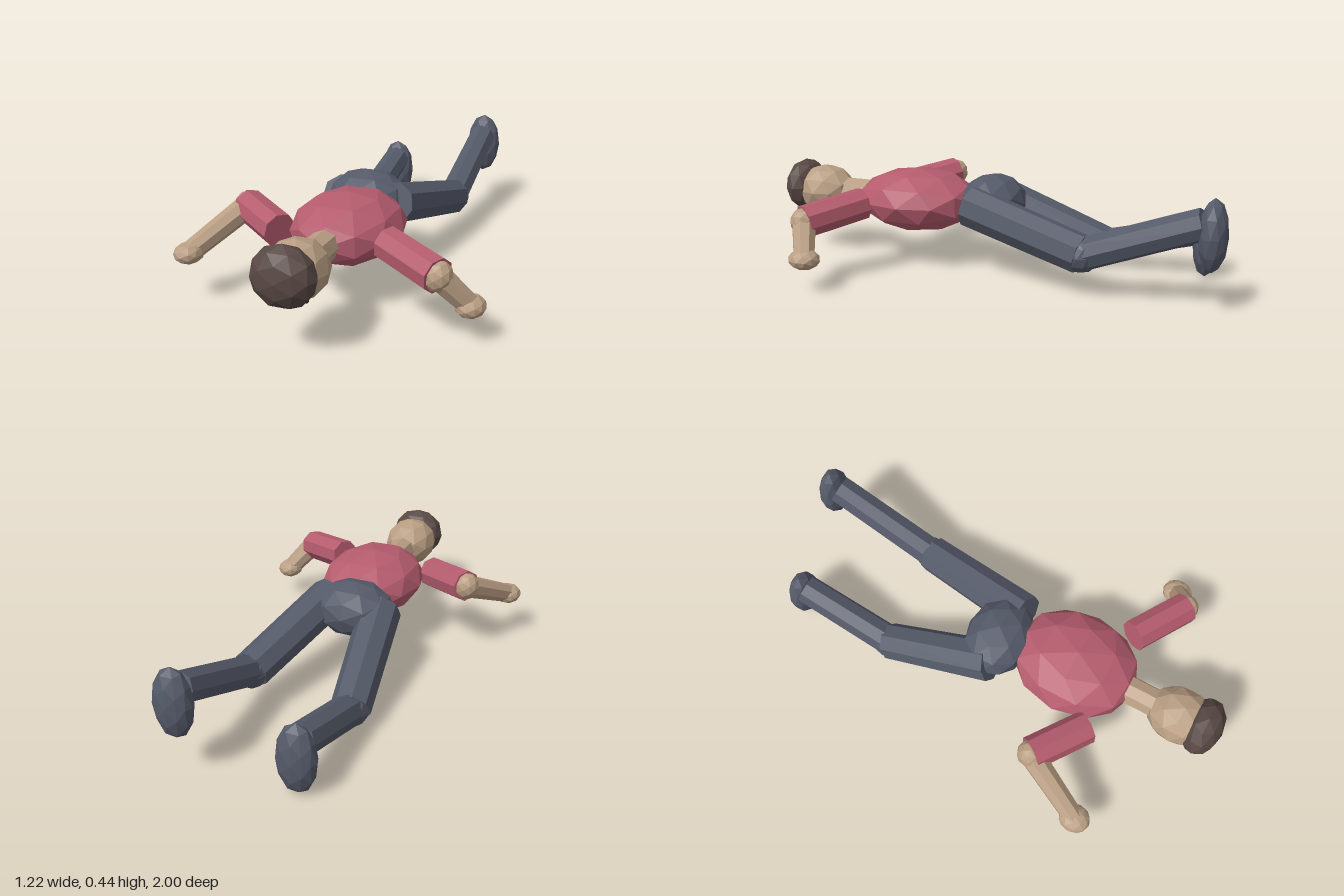
import * as THREE from 'three';

const V = (p) => new THREE.Vector3(...p);
const mat = (name, color) => {
  const m = new THREE.MeshStandardMaterial({ color, flatShading: true });
  m.name = name;
  return m;
};

export function createModel() {
  const shirt = mat('shirt red', 0xb55c6e);
  const skin = mat('skin', 0xb99e83);
  const trousers = mat('trousers blue grey', 0x555a69);
  const hair = mat('hair brown', 0x584844);
  const dark = mat('eye dark', 0x2a2423);

  const model = new THREE.Group();
  model.name = 'lyingFigure';

  // Faceted ellipsoid
  function blob(parent, name, material, center, radii) {
    const mesh = new THREE.Mesh(new THREE.IcosahedronGeometry(1, 1), material);
    mesh.name = name;
    mesh.position.set(...center);
    mesh.scale.set(...radii);
    parent.add(mesh);
  }

  // Eight-sided limb running between two points
  function limb(parent, name, material, from, to, r0, r1) {
    const a = V(from), b = V(to);
    const dir = b.clone().sub(a);
    const mesh = new THREE.Mesh(new THREE.CylinderGeometry(r1, r0, dir.length(), 8), material);
    mesh.name = name;
    mesh.position.copy(a).add(b).multiplyScalar(0.5);
    mesh.quaternion.setFromUnitVectors(new THREE.Vector3(0, 1, 0), dir.normalize());
    parent.add(mesh);
  }

  // Body, lying face down with the head toward +z
  blob(model, 'torso', shirt, [0, 0.285, 0.35], [0.222, 0.136, 0.272]);
  blob(model, 'pelvis', trousers, [-0.05, 0.29, 0.02], [0.175, 0.12, 0.142]);
  limb(model, 'neck', skin, [0, 0.288, 0.56], [0, 0.288, 0.74], 0.06, 0.06);

  // Head, hair cap and eyes on the downward-facing face
  const head = new THREE.Group();
  head.name = 'head';
  model.add(head);
  blob(head, 'face', skin, [0, 0.288, 0.82], [0.118, 0.112, 0.14]);
  blob(head, 'hair', hair, [0, 0.302, 0.92], [0.124, 0.117, 0.08]);
  for (const s of [-1, 1]) {
    blob(head, s > 0 ? 'leftEye' : 'rightEye', dark, [s * 0.042, 0.19, 0.845], [0.013, 0.013, 0.013]);
  }

  // Arms
  const arms = [
    { name: 'leftArm', shoulder: [0.215, 0.297, 0.507], elbow: [0.45, 0.26, 0.645], hand: [0.553, 0.138, 0.585] },
    { name: 'rightArm', shoulder: [-0.22, 0.288, 0.51], elbow: [-0.43, 0.318, 0.365], hand: [-0.552, 0.195, 0.63] },
  ];
  for (const a of arms) {
    const arm = new THREE.Group();
    arm.name = a.name;
    model.add(arm);
    limb(arm, 'sleeve', shirt, a.shoulder, a.elbow, 0.068, 0.068);
    blob(arm, 'elbow', skin, a.elbow, [0.056, 0.06, 0.056]);
    limb(arm, 'forearm', skin, a.elbow, a.hand, 0.05, 0.042);
    blob(arm, 'hand', skin, a.hand, [0.058, 0.042, 0.066]);
  }

  // Legs, bent up at the knee
  const legs = [
    { name: 'leftLeg', hip: [0.085, 0.295, 0.07], knee: [0.188, 0.172, -0.445], ankle: [0.2, 0.345, -0.91], foot: [0.2, 0.303, -0.943] },
    { name: 'rightLeg', hip: [-0.16, 0.29, 0.04], knee: [-0.235, 0.095, -0.425], ankle: [-0.23, 0.205, -0.84], foot: [-0.23, 0.147, -0.86] },
  ];
  for (const l of legs) {
    const leg = new THREE.Group();
    leg.name = l.name;
    model.add(leg);
    limb(leg, 'thigh', trousers, l.hip, l.knee, 0.088, 0.08);
    blob(leg, 'knee', trousers, l.knee, [0.074, 0.074, 0.074]);
    limb(leg, 'shin', trousers, l.knee, l.ankle, 0.067, 0.063);
    blob(leg, 'foot', trousers, l.foot, [0.08, 0.143, 0.056]);
  }

  return model;
}
